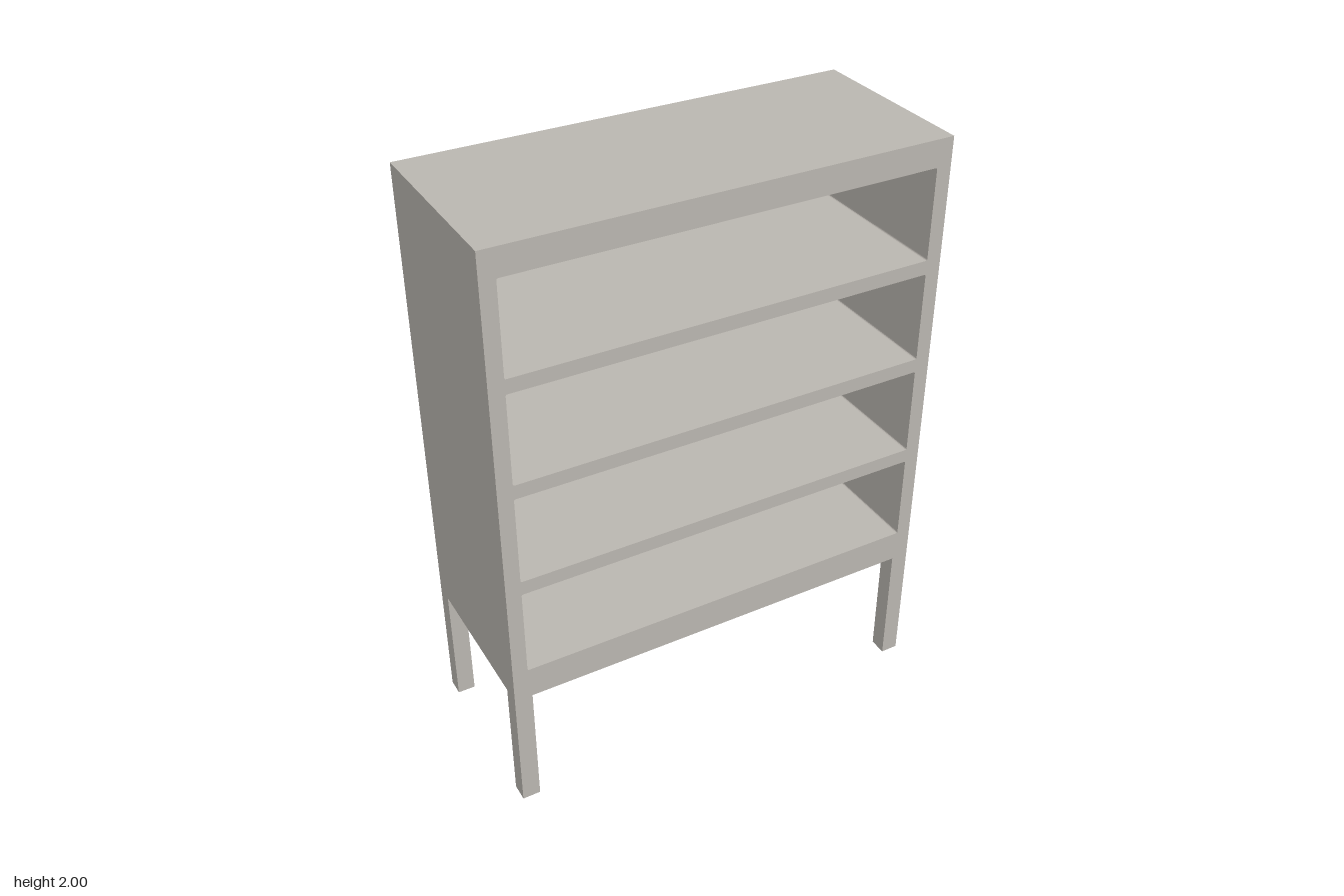
import * as THREE from 'three';

const W = 1.5, D = 0.62, H = 2;          // overall size
const LEG = 0.06, APRON_Y = 0.44, FLOOR_Y = 0.5, BACK = 0.05;

// Rounded rectangle traced onto a shape or path
function roundedRect(p, x0, y0, x1, y1, r) {
  p.moveTo(x0 + r, y0);
  p.lineTo(x1 - r, y0).quadraticCurveTo(x1, y0, x1, y0 + r);
  p.lineTo(x1, y1 - r).quadraticCurveTo(x1, y1, x1 - r, y1);
  p.lineTo(x0 + r, y1).quadraticCurveTo(x0, y1, x0, y1 - r);
  p.lineTo(x0, y0 + r).quadraticCurveTo(x0, y0, x0 + r, y0);
  return p;
}

export function createModel() {
  const group = new THREE.Group();
  const paint = new THREE.MeshStandardMaterial({ color: 0xbab6b0 });
  paint.name = 'warmGrey';

  function add(name, geometry, x = 0, y = 0, z = 0) {
    const mesh = new THREE.Mesh(geometry, paint);
    mesh.name = name;
    mesh.position.set(x, y, z);
    group.add(mesh);
  }
  const box = (name, w, h, d, x, y, z) => add(name, new THREE.BoxGeometry(w, h, d), x, y, z);

  // Carcass with four open compartments
  const face = new THREE.Shape();
  face.moveTo(-W / 2, FLOOR_Y).lineTo(W / 2, FLOOR_Y).lineTo(W / 2, H).lineTo(-W / 2, H).closePath();
  for (let i = 0; i < 4; i++) {
    const y = 0.55 + i * 0.352;
    face.holes.push(roundedRect(new THREE.Path(), -0.7, y, 0.7, y + 0.304, 0.006));
  }
  const carcass = new THREE.ExtrudeGeometry(face, { depth: D - BACK, bevelEnabled: false, curveSegments: 3 });
  add('shelfCarcass', carcass, 0, 0, -D / 2 + BACK);

  // Back panel
  box('backPanel', W, H - FLOOR_Y, BACK, 0, (H + FLOOR_Y) / 2, -D / 2 + BACK / 2);

  // Apron rails around the underside, and corner legs
  const railH = FLOOR_Y - APRON_Y, railY = (FLOOR_Y + APRON_Y) / 2;
  const lx = W / 2 - LEG / 2, lz = D / 2 - LEG / 2;
  for (const s of [-1, 1]) {
    box(s > 0 ? 'frontApron' : 'backApron', W - 2 * LEG, railH, LEG, 0, railY, s * lz);
    box(s > 0 ? 'leftApron' : 'rightApron', LEG, railH, D - 2 * LEG, s * lx, railY, 0);
    for (const t of [-1, 1]) {
      box((t > 0 ? 'front' : 'back') + (s > 0 ? 'LeftLeg' : 'RightLeg'),
        LEG, FLOOR_Y, LEG, s * lx, FLOOR_Y / 2, t * lz);
    }
  }
  return group;
}
